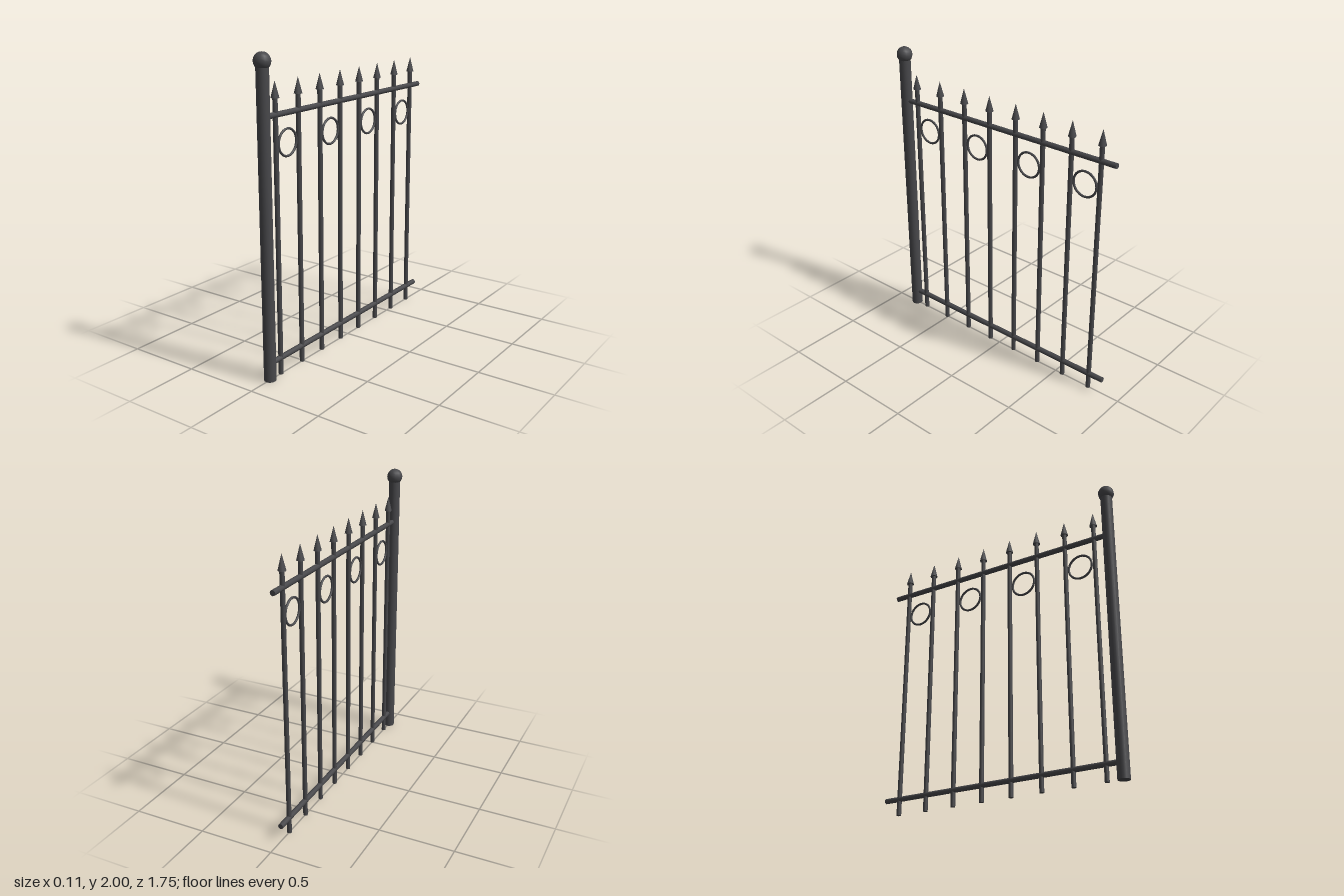
import * as THREE from 'three';

export function createModel() {
  const root = new THREE.Group();
  root.name = 'fencePanel';
  const iron = new THREE.MeshStandardMaterial({ color: 0x48484b });
  iron.name = 'dark iron';

  const add = (name, geometry, y, z) => {
    const mesh = new THREE.Mesh(geometry, iron);
    mesh.name = name;
    mesh.position.set(0, y, z);
    root.add(mesh);
    return mesh;
  };

  // End post with ball finial
  const postZ = 0.824;
  add('post', new THREE.CylinderGeometry(0.0385, 0.0385, 1.93, 16), 0.965, postZ);
  add('postBall', new THREE.SphereGeometry(0.053, 12, 10), 1.947, postZ);

  // Horizontal rails, running from inside the post to the free end
  const railEnd = -0.874;
  const railLength = postZ - railEnd;
  const railGeometry = new THREE.CylinderGeometry(0.018, 0.018, railLength, 8);
  railGeometry.rotateX(Math.PI / 2);
  for (const [name, y] of [['lowerRail', 0.108], ['upperRail', 1.63]]) {
    add(name, railGeometry, y, railEnd + railLength / 2);
  }

  // Pickets with spear tips
  const spacing = 0.2123;
  const firstZ = 0.72;
  const picketGeometry = new THREE.CylinderGeometry(0.0155, 0.0155, 1.735, 8);
  const tipGeometry = new THREE.ConeGeometry(0.026, 0.1, 8);
  // Rings sit in every second gap
  const ringGeometry = new THREE.TorusGeometry(0.0825, 0.0075, 8, 28);
  ringGeometry.rotateY(Math.PI / 2);
  for (let i = 0; i < 8; i++) {
    const z = firstZ - i * spacing;
    add('picket', picketGeometry, 0.8675, z);
    add('spearTip', tipGeometry, 1.778, z);
    if (i % 2 === 0) add('ring', ringGeometry, 1.452, z - spacing / 2);
  }

  return root;
}
